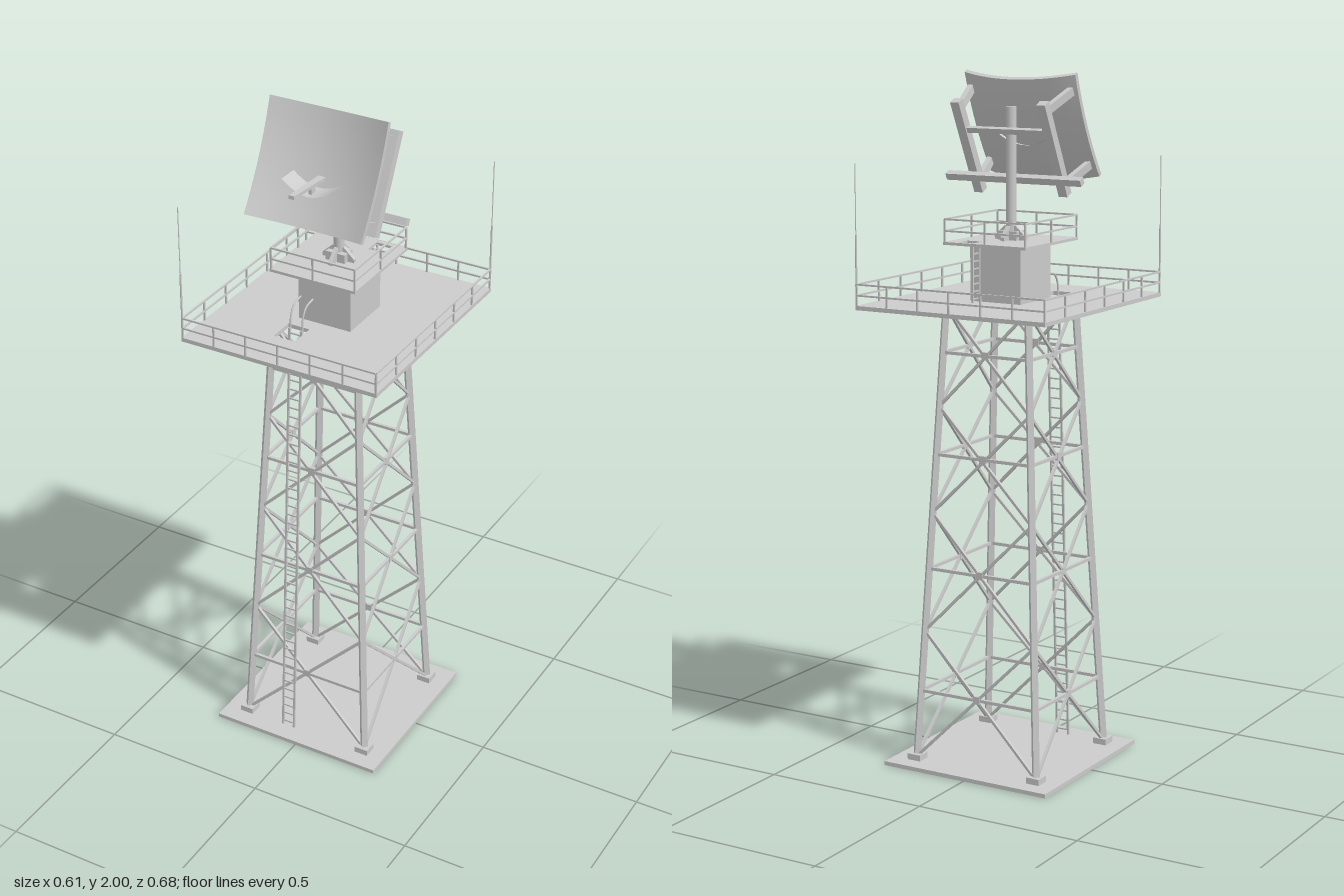
import * as THREE from 'three';

const V = (x, y, z) => new THREE.Vector3(x, y, z);

export function createModel() {
  const mat = new THREE.MeshStandardMaterial({ color: 0xcccccc });
  const thin = new THREE.MeshStandardMaterial({ color: 0xcccccc, side: THREE.DoubleSide });
  const model = new THREE.Group();

  const group = (name, parent = model) => {
    const g = new THREE.Group();
    g.name = name;
    parent.add(g);
    return g;
  };
  const add = (parent, name, geo, x = 0, y = 0, z = 0, m = mat) => {
    const mesh = new THREE.Mesh(geo, m);
    mesh.name = name;
    mesh.position.set(x, y, z);
    parent.add(mesh);
    return mesh;
  };
  const box = (parent, name, w, h, d, x, y, z) =>
    add(parent, name, new THREE.BoxGeometry(w, h, d), x, y, z);
  // Square bar between two points
  const beam = (parent, name, a, b, w, h = w) => {
    const mesh = new THREE.Mesh(new THREE.BoxGeometry(w, h, a.distanceTo(b)), mat);
    mesh.name = name;
    mesh.position.copy(a).lerp(b, 0.5);
    mesh.lookAt(b);
    parent.add(mesh);
  };
  // Floor plate with one rectangular hatch [x0, x1, z0, z1]
  const floor = (name, hw, hd, y, t, [x0, x1, z0, z1]) => {
    const rect = (C, a, b, c, d) => new C([[a, c], [b, c], [b, d], [a, d]]
      .map(p => new THREE.Vector2(p[0], p[1])));
    const shape = rect(THREE.Shape, -hw, hw, -hd, hd);
    shape.holes.push(rect(THREE.Path, x0, x1, -z1, -z0));
    const geo = new THREE.ExtrudeGeometry(shape, { depth: t, bevelEnabled: false });
    add(model, name, geo.rotateX(-Math.PI / 2), 0, y, 0);
  };
  // Rectangular guard rail: posts on all sides, two rails
  const railing = (name, hw, hd, y, h, spans, t) => {
    const g = group(name);
    const c = [[-hw, -hd], [hw, -hd], [hw, hd], [-hw, hd]];
    c.forEach(([ax, az], i) => {
      const [bx, bz] = c[(i + 1) % 4];
      for (const f of [0.5, 1])
        beam(g, 'rail', V(ax, y + h * f, az), V(bx, y + h * f, bz), t);
      for (let k = 0; k < spans; k++) {
        const s = k / spans;
        box(g, 'railPost', t, h, t, ax + (bx - ax) * s, y + h / 2, az + (bz - az) * s);
      }
    });
  };
  // Ladder from a to b, with rails offset to both sides
  const ladder = (name, a, b, side, rungs, t) => {
    const g = group(name);
    for (const s of [-1, 1]) {
      const o = side.clone().multiplyScalar(s);
      beam(g, 'ladderRail', a.clone().add(o), b.clone().add(o), t);
    }
    for (let i = 0; i < rungs; i++) {
      const p = a.clone().lerp(b, (i + 0.5) / rungs);
      beam(g, 'rung', p.clone().sub(side), p.clone().add(side), t * 0.7);
    }
  };

  // Ground slab and feet
  box(model, 'groundSlab', 0.54, 0.012, 0.54, 0, 0.006, 0);
  const legX = y => 0.202 - 0.068 * y / 1.35;
  const tower = group('latticeTower');
  for (const sx of [-1, 1]) for (const sz of [-1, 1]) {
    box(tower, 'foot', 0.042, 0.02, 0.042, sx * 0.2, 0.02, sz * 0.2);
    const at = y => V(sx * legX(y), y, sz * legX(y));
    beam(tower, 'towerLeg', at(0.015), at(1.352), 0.018);
  }

  // Cross bracing on the four faces, with a horizontal through each crossing
  const nodes = [0.02, 0.4, 0.75, 1.06, 1.35];
  const levels = [0.22, 0.585, 0.92, 1.215];
  for (let f = 0; f < 4; f++) {
    const face = group('towerFace', tower);
    face.rotation.y = f * Math.PI / 2;
    const at = (s, y) => V(s * legX(y), y, legX(y));
    levels.forEach((y, i) => {
      for (const s of [-1, 1])
        beam(face, 'diagonalBrace', at(s, nodes[i]), at(-s, nodes[i + 1]), 0.008);
      beam(face, 'horizontalBrace', at(-1, y), at(1, y), 0.009);
      box(face, 'gussetPlate', 0.022, 0.022, 0.01, 0, y, legX(y));
    });
  }

  // Main deck, cabin and upper platform
  floor('mainDeck', 0.305, 0.338, 1.348, 0.012, [-0.09, -0.023, 0.125, 0.204]);
  railing('mainRailing', 0.302, 0.335, 1.358, 0.062, 6, 0.005);
  box(model, 'cabin', 0.164, 0.165, 0.17, 0, 1.441, -0.003);
  floor('upperPlatform', 0.134, 0.148, 1.522, 0.008, [0.043, 0.092, -0.135, -0.087]);
  railing('upperRailing', 0.131, 0.145, 1.528, 0.066, 2, 0.005);

  // Ladders and the curved grab rails at the main hatch
  ladder('towerLadder', V(-0.056, 0.012, 0.212), V(-0.056, 1.36, 0.144), V(0.019, 0, 0), 46, 0.006);
  ladder('platformLadder', V(0.051, 1.36, -0.108), V(0.051, 1.53, -0.108), V(0, 0, 0.017), 8, 0.005);
  for (const x of [-0.075, -0.037]) {
    const path = new THREE.CatmullRomCurve3([V(x, 1.35, 0.14), V(x, 1.395, 0.136),
      V(x, 1.422, 0.118), V(x, 1.43, 0.08)]);
    add(model, 'grabRail', new THREE.TubeGeometry(path, 12, 0.003, 6));
  }

  // Whip aerials on two opposite corners
  for (const s of [-1, 1]) {
    const g = group('whipAerial');
    g.position.set(s * 0.302, 1.358, -s * 0.335);
    add(g, 'aerialBase', new THREE.CylinderGeometry(0.0028, 0.0028, 0.2, 6), 0, 0.1, 0);
    add(g, 'aerialTip', new THREE.CylinderGeometry(0.0014, 0.0014, 0.2, 6), 0, 0.298, 0);
  }

  // Mast with its base and gusset fins
  const mast = group('mast');
  add(mast, 'mastPole', new THREE.CylinderGeometry(0.015, 0.015, 0.375, 20), 0, 1.717, 0);
  box(mast, 'mastBase', 0.06, 0.026, 0.045, 0, 1.543, 0);
  for (let i = 0; i < 4; i++) {
    const fin = new THREE.Shape([[0, 0], [0.05, 0], [0.05, 0.01], [0.018, 0.04], [0, 0.04]]
      .map(p => new THREE.Vector2(...p)));
    const geo = new THREE.ExtrudeGeometry(fin, { depth: 0.012, bevelEnabled: false });
    add(mast, 'mastFin', geo.translate(0, 0, -0.006), 0, 1.53, 0).rotation.y = i * Math.PI / 2;
  }

  // Tilted antenna: curved reflector on a bar frame
  const antenna = group('antenna');
  antenna.position.set(0, 1.79, 0);
  const dish = new THREE.BoxGeometry(0.36, 0.326, 0.014, 20, 10, 1);
  const p = dish.attributes.position;
  for (let i = 0; i < p.count; i++) {
    const x = p.getX(i) / 0.18, y = p.getY(i) / 0.163;
    p.setZ(i, p.getZ(i) + 0.088 + 0.036 * x * x + 0.013 * y * y);
  }
  dish.computeVertexNormals();
  add(antenna, 'reflector', dish);
  for (const s of [-1, 1]) {
    box(antenna, 'frameUpright', 0.028, 0.292, 0.026, s * 0.139, 0, -0.002);
    for (const v of [-1, 1])
      beam(antenna, 'frameStrut', V(s * 0.139, v * 0.118, 0), V(s * 0.163, v * 0.118, 0.118), 0.016, 0.024);
  }
  box(antenna, 'frameCrossbar', 0.26, 0.016, 0.012, 0, 0.055, -0.004);
  box(antenna, 'lowerCrossbar', 0.44, 0.02, 0.02, 0, -0.086, -0.026);
  antenna.rotation.x = -0.46;

  // Feed: curved sheet and tapered arm in front of the reflector
  const feed = group('feed');
  const sheet = new THREE.PlaneGeometry(0.166, 0.092, 12, 1).rotateX(-Math.PI / 2);
  const q = sheet.attributes.position;
  for (let i = 0; i < q.count; i++) {
    const x = Math.abs(q.getX(i)) / 0.083;
    q.setY(i, 0.03 * x * x);
    q.setZ(i, q.getZ(i) - 0.01 * x);
  }
  sheet.computeVertexNormals();
  add(feed, 'feedSheet', sheet, 0, 1.79, 0.127, thin);
  const arm = new THREE.BoxGeometry(0.022, 0.01, 0.165);
  const r = arm.attributes.position;
  for (let i = 0; i < r.count; i++) if (r.getZ(i) > 0) r.setX(i, r.getX(i) * 0.75);
  arm.computeVertexNormals();
  add(feed, 'feedArm', arm, 0, 1.817, 0.169).rotation.x = -0.06;
  box(feed, 'feedSupport', 0.01, 0.03, 0.02, 0, 1.802, 0.145);

  return model;
}
